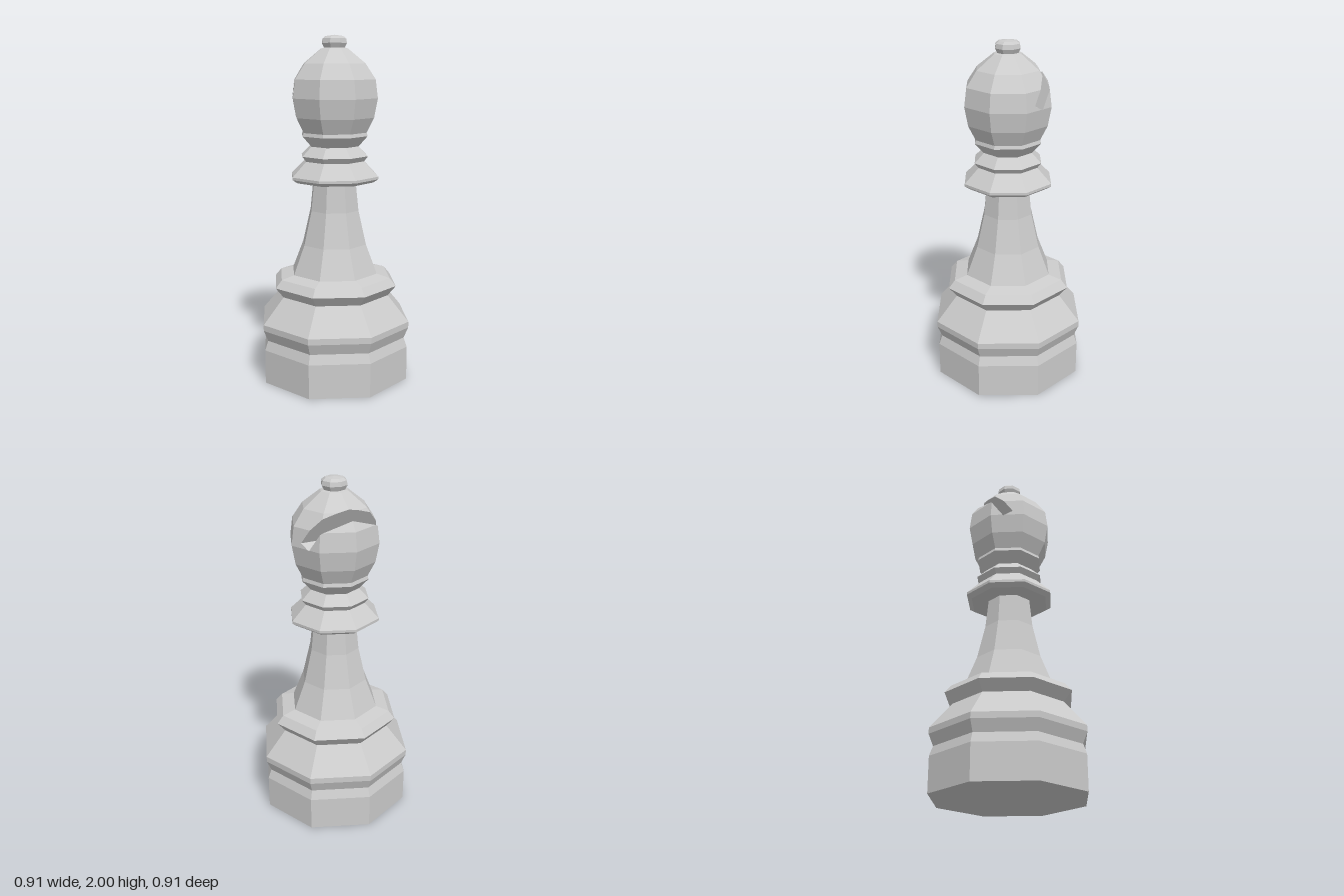
import * as THREE from 'three';

const SIDES = 8;
const material = new THREE.MeshStandardMaterial({ color: 0xcccccc, flatShading: true });

function lathe(name, profile) {
  const points = profile.map(([r, y]) => new THREE.Vector2(r, y));
  const mesh = new THREE.Mesh(new THREE.LatheGeometry(points, SIDES), material);
  mesh.name = name;
  return mesh;
}

// Part of a convex polygon on one side of a plane (sign -1: behind, +1: in front)
function clip(poly, plane, sign) {
  const out = [];
  poly.forEach((p, i) => {
    const q = poly[(i + 1) % poly.length];
    const dp = sign * plane.distanceToPoint(p), dq = sign * plane.distanceToPoint(q);
    if (dp >= 0) out.push(p);
    if (dp * dq < 0) out.push(p.clone().lerp(q, dp / (dp - dq)));
  });
  return out;
}

// Faceted convex head with a slanted slot cut across its back
function createHead(profile) {
  const ring = (i, [r, y]) => {
    const t = (i % SIDES) * Math.PI * 2 / SIDES;
    return new THREE.Vector3(r * Math.sin(t), y, r * Math.cos(t));
  };
  const faces = [];
  for (let i = 0; i < SIDES; i++) {
    for (let j = 0; j < profile.length - 1; j++) {
      faces.push([ring(i, profile[j]), ring(i + 1, profile[j]), ring(i + 1, profile[j + 1]), ring(i, profile[j + 1])]);
    }
  }
  const facePlanes = faces.map(f => new THREE.Plane().setFromCoplanarPoints(f[0], f[1], f[2]));

  // Slot: floor from a to b, walls rising along 'up'
  const up = new THREE.Vector3(0, 0.862, -0.507);
  const across = new THREE.Vector3(0, -0.507, -0.862);
  const a = new THREE.Vector3(0, 1.677, -0.06);
  const b = a.clone().addScaledVector(across, 0.063);
  const planeAt = (n, p) => new THREE.Plane().setFromNormalAndCoplanarPoint(n, p);
  const frontWall = planeAt(across, a), backWall = planeAt(across, b), floor = planeAt(up, a);

  // Outer skin outside the slot
  const polys = [];
  for (const face of faces) {
    const behind = clip(face, frontWall, 1);
    polys.push(clip(face, frontWall, -1), clip(behind, backWall, 1));
    polys.push(clip(clip(behind, backWall, -1), floor, -1));
  }

  // Slot walls and floor, trimmed to the skin
  const strip = (p, e) => [[-1, p], [1, p], [1, e], [-1, e]].map(([x, v]) => new THREE.Vector3(x, v.y, v.z));
  for (const s of [strip(a.clone().add(up), a), strip(b, b.clone().add(up)), strip(a, b)]) {
    polys.push(facePlanes.reduce((poly, plane) => clip(poly, plane, -1), s));
  }

  const corners = [];
  for (const p of polys) {
    for (let k = 1; k < p.length - 1; k++) corners.push(p[0], p[k], p[k + 1]);
  }
  const geometry = new THREE.BufferGeometry().setFromPoints(corners);
  geometry.computeVertexNormals();
  const mesh = new THREE.Mesh(geometry, material);
  mesh.name = 'slottedHead';
  return mesh;
}

export function createModel() {
  const group = new THREE.Group();
  group.name = 'chessBishop';

  group.add(lathe('base', [
    [0, 0], [0.45, 0], [0.45, 0.2], [0.43, 0.255], [0.457, 0.32], [0.457, 0.355],
    [0.33, 0.505], [0.378, 0.565], [0.34, 0.61], [0.262, 0.63],
  ]));
  group.add(lathe('stem', [[0.262, 0.63], [0.195, 0.8], [0.148, 1.0], [0.13, 1.17]]));
  group.add(lathe('collar', [
    [0.13, 1.17], [0.235, 1.17], [0.265, 1.19], [0.265, 1.205], [0.18, 1.29],
    [0.203, 1.32], [0.146, 1.375], [0.2, 1.435], [0.194, 1.455],
  ]));
  group.add(createHead([
    [0.194, 1.455], [0.237, 1.54], [0.258, 1.65], [0.244, 1.755], [0.184, 1.843], [0.08, 1.925],
  ]));
  group.add(lathe('finial', [
    [0.08, 1.925], [0.062, 1.93], [0.075, 1.955], [0.07, 1.98], [0.053, 1.993], [0, 2],
  ]));
  return group;
}
